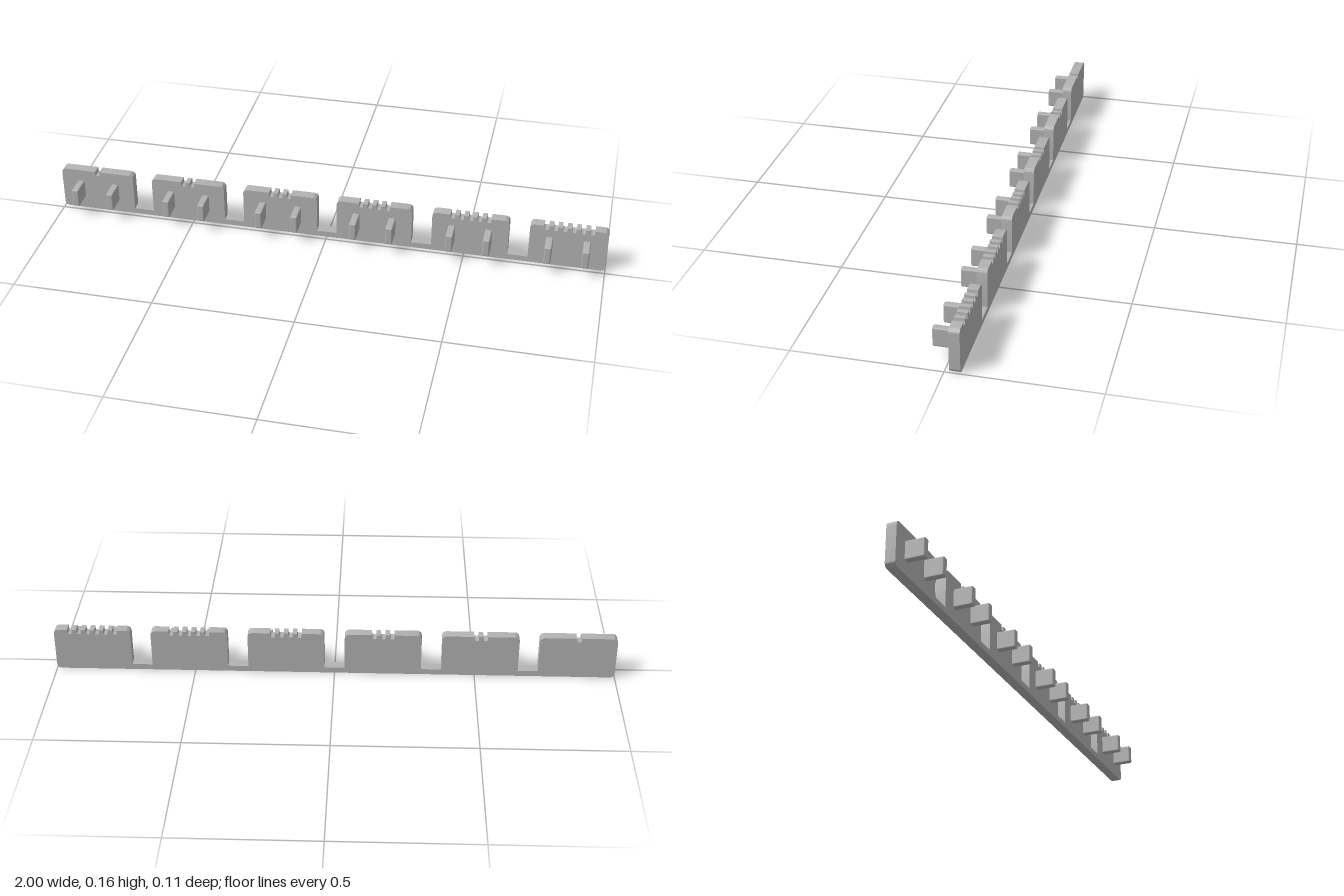
import * as THREE from 'three';
import { toCreasedNormals } from 'three/addons/utils/BufferGeometryUtils.js';
import { RoundedBoxGeometry } from 'three/addons/geometries/RoundedBoxGeometry.js';

const COUNT = 6, TAB_W = 0.273, PITCH = (2 - TAB_W) / (COUNT - 1);
const TOP = 0.16, RAIL = 0.021, R = 0.016;
const BACK = -0.052, FRONT = -0.016, TIP = 0.053;
const NOTCH_W = 0.016, NOTCH_D = 0.016, NOTCH_R = 0.004, NOTCH_PITCH = 0.032;

// rounded corner at (cx, cy), sweeping clockwise from angle a by a quarter turn
const corner = (s, cx, cy, r, a) => s.absarc(cx, cy, r, a, a - Math.PI / 2, true);

// U-shaped notch cut from the top edge, going left to right
function notch(s, x) {
  const l = x - NOTCH_W / 2, r = x + NOTCH_W / 2, b = TOP - NOTCH_D;
  s.lineTo(l, TOP);
  s.lineTo(l, b + NOTCH_R);
  s.absarc(l + NOTCH_R, b + NOTCH_R, NOTCH_R, Math.PI, 1.5 * Math.PI, false);
  s.absarc(r - NOTCH_R, b + NOTCH_R, NOTCH_R, 1.5 * Math.PI, 2 * Math.PI, false);
  s.lineTo(r, TOP);
}

export function createModel() {
  const group = new THREE.Group();
  const grey = new THREE.MeshStandardMaterial({ color: 0xb2b2b2 });
  grey.name = 'grey plastic';
  const centre = (i) => -1 + TAB_W / 2 + i * PITCH;

  // one outline: rail with six tabs, carrying one to six notches
  const s = new THREE.Shape();
  s.moveTo(-1, R);
  for (let i = 0; i < COUNT; i++) {
    const c = centre(i), l = c - TAB_W / 2, r = c + TAB_W / 2;
    if (i > 0) s.lineTo(l, RAIL);
    corner(s, l + R, TOP - R, R, Math.PI);
    for (let n = 0; n <= i; n++) notch(s, c + (n - i / 2) * NOTCH_PITCH);
    corner(s, r - R, TOP - R, R, Math.PI / 2);
    if (i < COUNT - 1) s.lineTo(r, RAIL);
  }
  corner(s, 1 - R, R, R, 0);
  corner(s, -1 + R, R, R, -Math.PI / 2);

  const plateGeo = new THREE.ExtrudeGeometry(s, { depth: FRONT - BACK, bevelEnabled: false, curveSegments: 6 });
  plateGeo.translate(0, 0, BACK);
  const plate = new THREE.Mesh(toCreasedNormals(plateGeo, 0.6), grey);
  plate.name = 'notchedPlate';
  group.add(plate);

  // two pegs on the front of every tab, rooted inside the plate
  const root = FRONT - 0.015;
  const pegGeo = new RoundedBoxGeometry(0.025, 0.068, TIP - root, 2, 0.005);
  for (let i = 0; i < COUNT; i++) {
    for (const side of [-1, 1]) {
      const peg = new THREE.Mesh(pegGeo, grey);
      peg.name = 'peg';
      peg.position.set(centre(i) + side * 0.0655, 0.081, (TIP + root) / 2);
      group.add(peg);
    }
  }
  return group;
}
